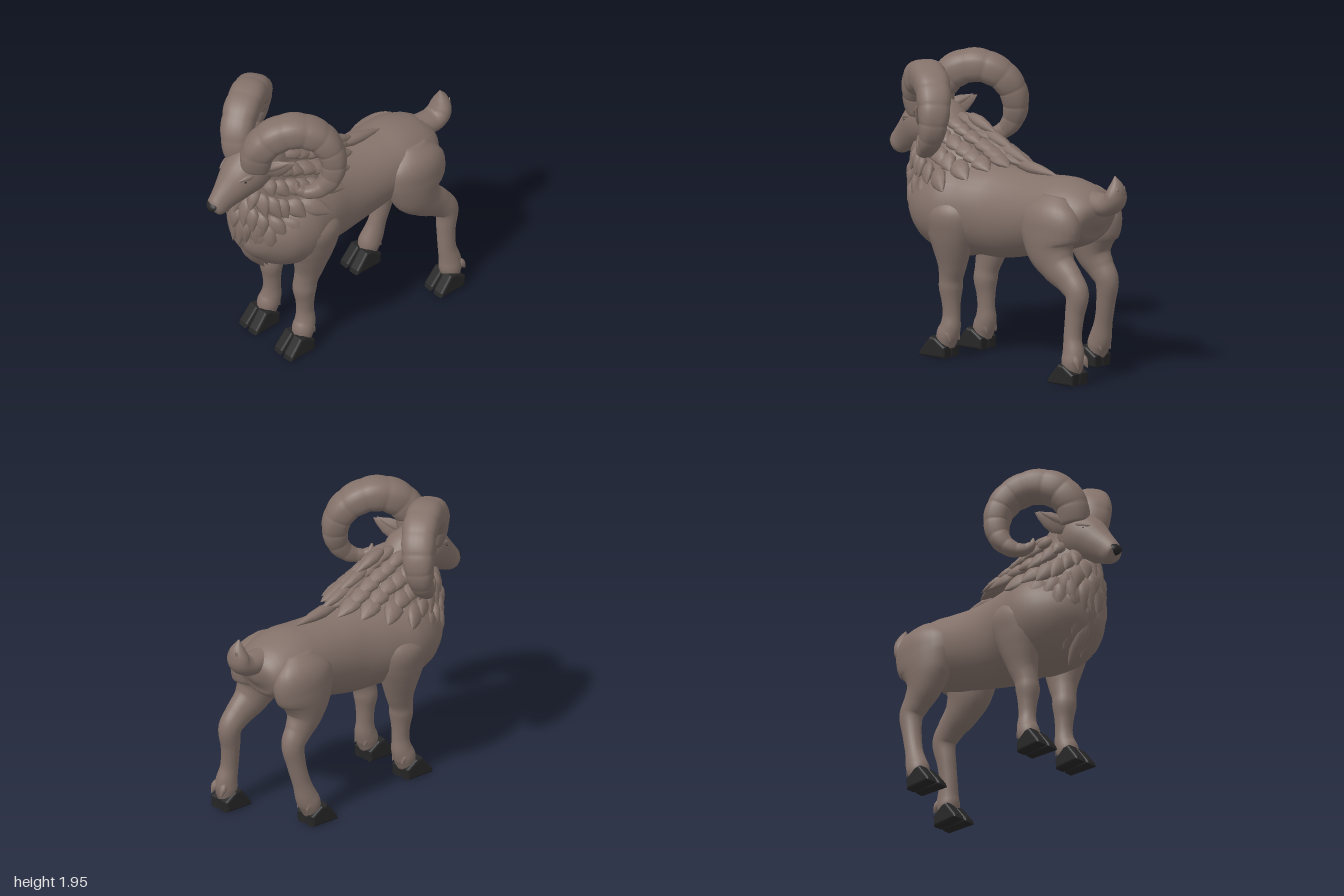
import * as THREE from 'three';
import { mergeGeometries } from 'three/addons/utils/BufferGeometryUtils.js';

const V = (x, y, z) => new THREE.Vector3(x, y, z);
const X_AXIS = V(1, 0, 0);

// Smooth closed loft. Each section is [x, y, z, half width along side, other half width];
// power below 1 squares off the cross-section
function loft(sections, { side = X_AXIS, steps = 6, sides = 24, power = 1, shape = () => 1 } = {}) {
  const path = new THREE.CatmullRomCurve3(sections.map(s => V(s[0], s[1], s[2])));
  const size = new THREE.CatmullRomCurve3(sections.map(s => V(s[3], s[4], 0)), false, 'catmullrom', 0.5);
  const bend = n => Math.sign(n) * Math.pow(Math.abs(n), power);
  const rings = (sections.length - 1) * steps;
  const pos = [], index = [];
  for (let i = 0; i <= rings; i++) {
    const t = i / rings;
    const c = path.getPoint(t), d = path.getTangent(t), r = size.getPoint(t);
    const u = side.clone().addScaledVector(d, -side.dot(d)).normalize();
    const v = d.clone().cross(u);
    const k = shape(t);
    for (let j = 0; j < sides; j++) {
      const a = j / sides * Math.PI * 2;
      const p = c.clone()
        .addScaledVector(u, bend(Math.cos(a)) * Math.max(r.x, 0.001) * k)
        .addScaledVector(v, bend(Math.sin(a)) * Math.max(r.y, 0.001) * k);
      pos.push(p.x, p.y, p.z);
      if (i < rings) {
        const j2 = (j + 1) % sides, q = i * sides;
        index.push(q + j, q + j2, q + sides + j, q + j2, q + sides + j2, q + sides + j);
      }
    }
  }
  // End caps
  for (const end of [0, rings]) {
    const c = path.getPoint(end / rings), n = pos.length / 3;
    pos.push(c.x, c.y, c.z);
    for (let j = 0; j < sides; j++) {
      const a = end * sides + j, b = end * sides + (j + 1) % sides;
      if (end) index.push(n, a, b); else index.push(n, b, a);
    }
  }
  const g = new THREE.BufferGeometry();
  g.setAttribute('position', new THREE.Float32BufferAttribute(pos, 3));
  g.setIndex(index);
  g.computeVertexNormals();
  return g;
}

// Pointed leaf-shaped lock lying from base to tip, flat side facing out
const leafProfile = [[0, 0], [0.7, 0.12], [1, 0.36], [0.82, 0.6], [0.4, 0.84], [0, 1]]
  .map(p => new THREE.Vector2(...p));
function leaf(base, tip, out, width, thick) {
  const dir = tip.clone().sub(base);
  const side = dir.clone().cross(out).normalize();
  const face = side.clone().cross(dir).normalize();
  const m = new THREE.Matrix4().makeBasis(side.multiplyScalar(width), dir, face.multiplyScalar(thick));
  return new THREE.LatheGeometry(leafProfile, 10).applyMatrix4(m.setPosition(base));
}

// Point on the slanted surface of the mane: s runs down it, a runs round it (0 = front)
const maneFront = new THREE.QuadraticBezierCurve3(V(0, 1.36, 0.70), V(0, 1.13, 0.86), V(0, 0.80, 0.65));
const maneBack = new THREE.QuadraticBezierCurve3(V(0, 1.58, 0.42), V(0, 1.44, 0.13), V(0, 1.29, -0.15));
function manePoint(s, a) {
  const f = maneFront.getPoint(s), b = maneBack.getPoint(s);
  const mid = f.clone().add(b).multiplyScalar(0.5);
  const c = Math.cos(a), n = Math.sin(a);
  const w = (0.14 + 0.09 * s + 0.075 * s * s) * (1 + (c > 0 ? 0.2 : 0.3) * s * c);
  const p = mid.clone().addScaledVector(f.sub(b).multiplyScalar(0.5), c);
  p.x = w * n;
  p.y += 0.11 * s * n * n;
  return { p, out: p.clone().sub(mid).normalize() };
}

export function createModel() {
  const model = new THREE.Group();
  model.name = 'ram';
  const coat = new THREE.MeshStandardMaterial({ color: 0x84726a });
  coat.name = 'brown coat';
  const black = new THREE.MeshStandardMaterial({ color: 0x262626 });
  black.name = 'black hoof';
  const add = (name, geometry, material = coat) => {
    const mesh = new THREE.Mesh(geometry, material);
    mesh.name = name;
    model.add(mesh);
    return mesh;
  };
  const ball = (name, x, y, z, sx, sy, sz, material) => {
    const m = add(name, new THREE.SphereGeometry(1, 16, 12), material);
    m.position.set(x, y, z);
    m.scale.set(sx, sy, sz);
    return m;
  };
  const mirror = (sections, k) => sections.map(([x, ...rest]) => [x * k, ...rest]);

  // Trunk, neck, head and tail
  add('body', loft([
    [0, 1.03, -0.81, 0.03, 0.03], [0, 1.04, -0.78, 0.17, 0.13], [0, 1.05, -0.70, 0.23, 0.19],
    [0, 1.05, -0.55, 0.265, 0.235], [0, 1.03, -0.40, 0.26, 0.25], [0, 1.0, -0.20, 0.255, 0.275],
    [0, 0.985, 0, 0.265, 0.305], [0, 0.99, 0.20, 0.315, 0.315], [0, 0.985, 0.35, 0.35, 0.34],
    [0, 0.99, 0.50, 0.325, 0.30], [0, 1.01, 0.62, 0.25, 0.22], [0, 1.03, 0.70, 0.16, 0.14],
    [0, 1.04, 0.75, 0.02, 0.02]], { sides: 32 }));
  add('neck', loft([
    [0, 0.95, 0.38, 0.30, 0.31], [0, 1.15, 0.43, 0.255, 0.33], [0, 1.30, 0.48, 0.18, 0.28],
    [0, 1.45, 0.52, 0.145, 0.20], [0, 1.58, 0.55, 0.12, 0.12], [0, 1.67, 0.58, 0.02, 0.02]], { sides: 32 }));
  add('head', loft([
    [0, 1.57, 0.49, 0.04, 0.04], [0, 1.55, 0.54, 0.12, 0.14], [0, 1.51, 0.63, 0.152, 0.17],
    [0, 1.46, 0.72, 0.145, 0.155], [0, 1.395, 0.81, 0.108, 0.12], [0, 1.34, 0.885, 0.076, 0.092],
    [0, 1.305, 0.93, 0.066, 0.075], [0, 1.288, 0.953, 0.05, 0.052], [0, 1.283, 0.961, 0.005, 0.005]]));
  // Nose pad, wide at the top and pointed below
  const nose = new THREE.SphereGeometry(1, 20, 14), np = nose.attributes.position;
  for (let i = 0; i < np.count; i++) np.setX(i, np.getX(i) * (0.8 + 0.4 * np.getY(i)));
  nose.scale(0.054, 0.038, 0.036).translate(0, 1.318, 0.963);
  add('nose', nose, black);
  add('tail', loft([
    [0, 1.15, -0.72, 0.085, 0.075], [0, 1.145, -0.80, 0.088, 0.075], [0, 1.15, -0.87, 0.09, 0.072],
    [0, 1.185, -0.922, 0.088, 0.07], [0, 1.235, -0.938, 0.08, 0.06], [0, 1.29, -0.94, 0.05, 0.042],
    [0, 1.35, -0.93, 0.004, 0.004]]));
  add('tailLocks', mergeGeometries([-1, 1].map(k =>
    leaf(V(k * 0.05, 1.13, -0.90), V(k * 0.03, 1.29, -0.99), V(k, 0, -1), 0.04, 0.028))));

  // Mane: staggered rings of locks, then the crest along the spine and the chest beard
  const locks = [];
  const rows = 6;
  for (let r = 0; r < rows; r++) {
    const s = r / (rows - 1) * 0.7, n = 10 + r;
    for (let i = 0; i < n; i++) {
      const a = (i + (r % 2) * 0.5) / n * Math.PI * 2;
      const wave = 0.05 * Math.sin(i * 5.3 + r * 2.1);
      const top = manePoint(s, a), end = manePoint(Math.min(s + 0.33 + wave, 1.05), a + wave);
      locks.push(leaf(top.p.addScaledVector(top.out, -0.015), end.p.addScaledVector(end.out, 0.028),
        end.out, 0.05 + 0.025 * s, 0.036));
    }
  }
  for (const [z, y, len] of [[0.34, 1.58, 0.26], [0.2, 1.49, 0.28], [0.08, 1.42, 0.3], [-0.06, 1.32, 0.38]])
    locks.push(leaf(V(0, y, z), V(0, y - 0.1 + (z < 0 ? 0.06 : 0), z - len), V(0, 1, 0), 0.045, 0.04));
  for (const [x, y, z] of [[0, 0.62, 0.53], [0.08, 0.70, 0.57], [0.04, 0.78, 0.65], [0.17, 0.82, 0.61],
    [0.12, 0.90, 0.70], [0.03, 0.93, 0.77]])
    for (const k of x ? [-1, 1] : [1])
      locks.push(leaf(V(k * x * 1.15, y + 0.31, 0.72 - x * 0.4), V(k * x, y, z), V(k * x * 3, -0.1, 1), 0.06, 0.05));
  locks.push(leaf(V(0, 1.71, 0.58), V(0, 1.56, 0.77), V(0, 1, 1), 0.05, 0.03));
  add('mane', mergeGeometries(locks));

  // Cloven toe, profile drawn along z and y
  const toeShape = new THREE.Shape([[-0.105, 0], [0.107, 0], [0.098, 0.03], [0.015, 0.135], [-0.03, 0.13], [-0.11, 0.075]]
    .map(p => new THREE.Vector2(...p)));
  const toe = new THREE.ExtrudeGeometry(toeShape,
    { depth: 0.05, bevelSize: 0.018, bevelThickness: 0.018, bevelOffset: -0.018, bevelSegments: 4 });
  toe.translate(0, 0, -0.025).rotateY(-Math.PI / 2);
  const foot = (name, x, z) => {
    for (const k of [-1, 1]) {
      const t = add(name + 'Hoof', toe, black);
      t.position.set(x + k * 0.044, 0, z);
      t.rotation.y = k * 0.06;
      add(name + 'Dewclaw', leaf(V(x + k * 0.035, 0.20, z - 0.085), V(x + k * 0.045, 0.11, z - 0.135),
        V(0, 0.3, -1), 0.026, 0.026));
    }
  };

  const frontLeg = [
    [0.22, 1.07, 0.29, 0.08, 0.12], [0.225, 0.98, 0.29, 0.135, 0.18], [0.215, 0.86, 0.295, 0.13, 0.175],
    [0.20, 0.74, 0.30, 0.112, 0.14], [0.185, 0.62, 0.31, 0.088, 0.102], [0.175, 0.53, 0.328, 0.076, 0.082],
    [0.17, 0.46, 0.335, 0.076, 0.08], [0.17, 0.37, 0.332, 0.061, 0.064], [0.17, 0.28, 0.33, 0.055, 0.06],
    [0.175, 0.20, 0.335, 0.066, 0.07], [0.18, 0.14, 0.355, 0.072, 0.075], [0.18, 0.07, 0.365, 0.06, 0.055]];
  const hindLegBack = [
    [0.16, 1.19, -0.56, 0.06, 0.10], [0.195, 1.08, -0.56, 0.125, 0.215], [0.205, 0.96, -0.555, 0.13, 0.23],
    [0.21, 0.85, -0.565, 0.12, 0.185], [0.215, 0.75, -0.63, 0.10, 0.13], [0.22, 0.67, -0.73, 0.08, 0.10],
    [0.225, 0.59, -0.80, 0.072, 0.083], [0.235, 0.45, -0.79, 0.06, 0.066], [0.25, 0.30, -0.785, 0.056, 0.062],
    [0.26, 0.20, -0.80, 0.066, 0.076], [0.265, 0.14, -0.80, 0.072, 0.076], [0.265, 0.07, -0.80, 0.06, 0.055]];
  const forwardZ = [-0.56, -0.56, -0.55, -0.54, -0.56, -0.61, -0.66, -0.645, -0.61, -0.58, -0.555, -0.54];
  const hindLegForward = hindLegBack.map(([x, y, , w, d], i) => [x, y, forwardZ[i], w, d]);

  const horn = [
    [0.085, 1.56, 0.675, 0.09, 0.10], [0.11, 1.70, 0.67, 0.105, 0.108], [0.165, 1.805, 0.595, 0.115, 0.112],
    [0.24, 1.845, 0.475, 0.117, 0.108], [0.32, 1.80, 0.36, 0.114, 0.10], [0.38, 1.70, 0.295, 0.106, 0.093],
    [0.405, 1.575, 0.282, 0.092, 0.084], [0.40, 1.465, 0.315, 0.073, 0.068], [0.365, 1.395, 0.38, 0.055, 0.052],
    [0.32, 1.38, 0.45, 0.04, 0.038], [0.292, 1.41, 0.49, 0.028, 0.026], [0.288, 1.455, 0.50, 0.006, 0.006]];
  const ridges = t => 0.94 + 0.07 * Math.pow(Math.abs(Math.sin(t * 13 * Math.PI)), 0.4);

  // Paired parts; the two hind legs are mid-stride
  for (const [k, name] of [[1, 'left'], [-1, 'right']]) {
    add(name + 'FrontLeg', loft(mirror(frontLeg, k)));
    foot(name + 'Front', k * 0.18, 0.425);
    add(name + 'HindLeg', loft(mirror(k > 0 ? hindLegBack : hindLegForward, k)));
    foot(name + 'Hind', k * 0.265, k > 0 ? -0.755 : -0.485);
    add(name + 'Horn', loft(mirror(horn, k),
      { side: V(k * 0.82, 0, 0.58), steps: 14, sides: 24, power: 0.78, shape: ridges }));
    // Ear with a cupped inner fold
    add(name + 'Ear', mergeGeometries([
      leaf(V(k * 0.12, 1.52, 0.65), V(k * 0.30, 1.63, 0.52), V(k * 0.5, -0.3, 1), 0.07, 0.022),
      leaf(V(k * 0.13, 1.55, 0.65), V(k * 0.285, 1.64, 0.535), V(k * 0.5, 0.3, 1), 0.03, 0.03)]));
    const eye = ball(name + 'Eye', k * 0.114, 1.495, 0.78, 0.009, 0.013, 0.02, black);
    eye.rotation.y = k * -0.4;
    add(name + 'Brow', leaf(V(k * 0.128, 1.535, 0.71), V(k * 0.095, 1.505, 0.83), V(k, 0.6, 0.3), 0.02, 0.02));
  }
  return model;
}
